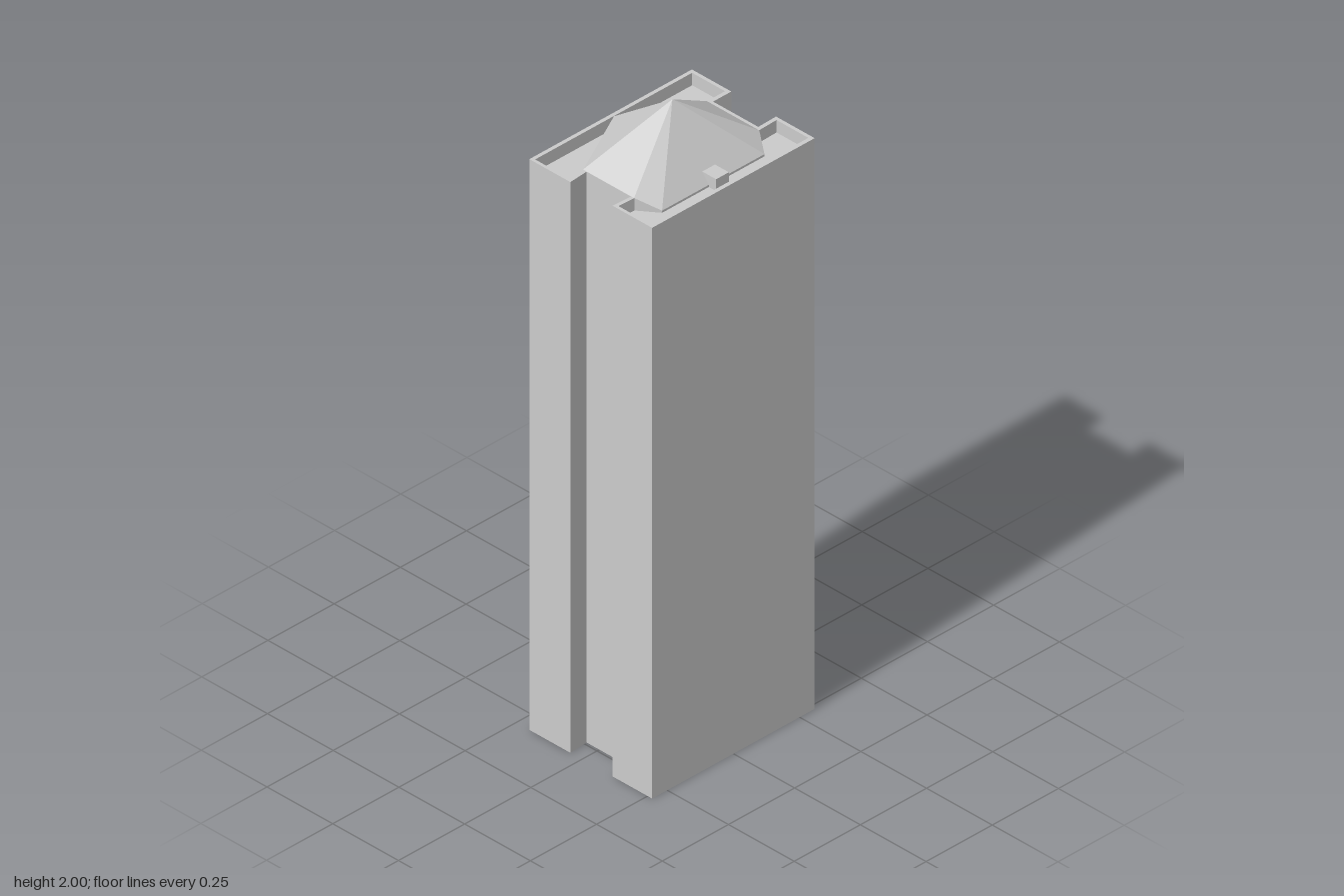
import * as THREE from 'three';

const DECK = 1.8, RIM = 1.84;

// Footprint outlines as [x, z]
const OUTER = [
  [-0.307, 0.267], [0.307, 0.267], [0.307, 0.12], [0.238, 0.122],
  [0.238, -0.05], [0.307, -0.05], [0.307, -0.2], [-0.307, -0.2],
  [-0.307, -0.044], [-0.241, -0.049], [-0.241, 0.12], [-0.307, 0.117],
];
const INNER = [
  [-0.297, 0.254], [0.296, 0.254], [0.296, 0.133], [0.228, 0.135],
  [0.228, -0.063], [0.296, -0.063], [0.296, -0.188], [-0.297, -0.188],
  [-0.297, -0.058], [-0.231, -0.063], [-0.231, 0.132], [-0.297, 0.129],
];

const toPoints = (list) => list.map(([x, z]) => new THREE.Vector2(x, -z));

function prism(shape, y0, y1) {
  const g = new THREE.ExtrudeGeometry(shape, { depth: y1 - y0, bevelEnabled: false });
  g.rotateX(-Math.PI / 2);
  g.translate(0, y0, 0);
  return g;
}

function fromTriangles(tris) {
  const g = new THREE.BufferGeometry();
  g.setAttribute('position', new THREE.Float32BufferAttribute(tris.flat(2), 3));
  g.computeVertexNormals();
  return g;
}

// Faceted hip roof: a fan from the ring to the apex, plus a skirt down to the deck
function roofGeometry() {
  const apex = [0, 2, 0.035];
  const ring = [
    [-0.24, RIM, 0.131], [-0.195, 1.807, 0.192], [0.192, 1.807, 0.192],
    [0.228, RIM, 0.136], [0.228, RIM, -0.063], [0, RIM, -0.187], [-0.24, RIM, -0.063],
  ];
  const tris = [];
  ring.forEach((a, i) => {
    const b = ring[(i + 1) % ring.length];
    const a0 = [a[0], DECK, a[2]], b0 = [b[0], DECK, b[2]];
    tris.push([a, b, apex], [a0, b0, b], [a0, b, a]);
  });
  return fromTriangles(tris);
}

// Sloping canopy over the porch: flat centre panel with a triangular hip on each side
function canopyGeometry() {
  const y0 = 0.125, y1 = 0.145, zw = -0.2, zf = -0.268;
  const fl = [0.042, y0, zf], fr = [-0.042, y0, zf];
  const wl = [0.042, y1, zw], wr = [-0.042, y1, zw];
  return fromTriangles([
    [fl, fr, wr], [fl, wr, wl],
    [fl, wl, [0.075, y0, zw]],
    [fr, [-0.078, y0, zw], wr],
  ]);
}

export function createModel() {
  const group = new THREE.Group();
  const material = new THREE.MeshStandardMaterial({ color: 0xcccccc, flatShading: true });
  const add = (name, geometry) => {
    const mesh = new THREE.Mesh(geometry, material);
    mesh.name = name;
    group.add(mesh);
  };

  // Tower shaft with a notch in each side
  add('tower', prism(new THREE.Shape(toPoints(OUTER)), 0, DECK));

  // Thin parapet around the roof deck
  const rim = new THREE.Shape(toPoints(OUTER));
  rim.holes.push(new THREE.Path(toPoints(INNER)));
  add('parapet', prism(rim, DECK, RIM));

  add('roof', roofGeometry());

  // Small box at the front edge of the roof
  const box = new THREE.BoxGeometry(0.048, 0.038, 0.053);
  box.translate(0.006, DECK + 0.019, 0.193);
  add('roofBox', box);

  // Porch at the back
  const porch = [[-0.078, -0.2], [0.075, -0.2], [0.042, -0.268], [-0.042, -0.268]];
  add('porch', prism(new THREE.Shape(toPoints(porch)), 0, 0.125));
  add('porchCanopy', canopyGeometry());

  return group;
}
